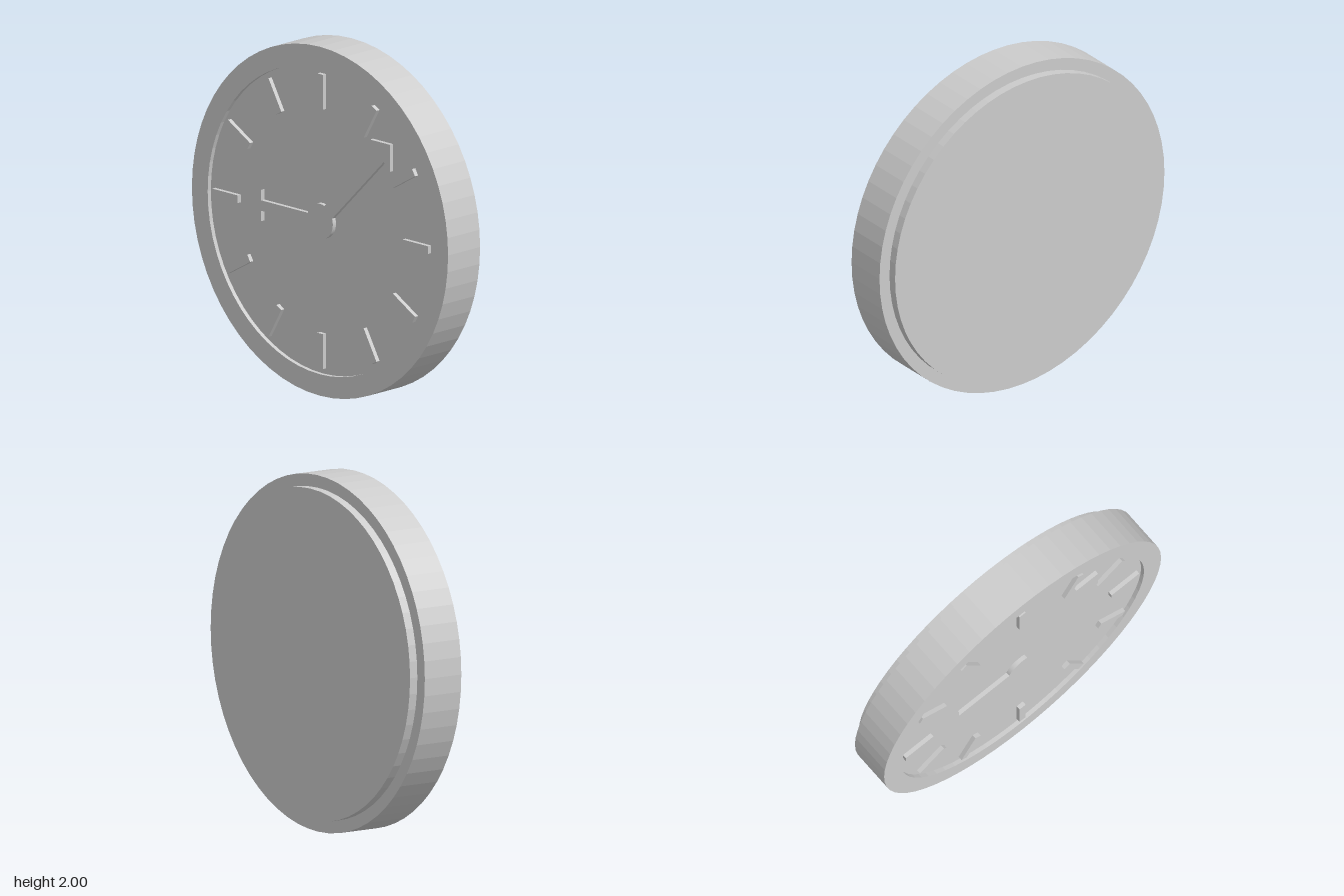
import * as THREE from 'three';

const SEGMENTS = 64;
const FACE_Z = 0.125, RIM_Z = 0.15, BODY_BACK = -0.1, BACK_Z = -0.15;
const HUB = 0.1;

export function createModel() {
  const model = new THREE.Group();
  model.name = 'wallClock';
  const material = new THREE.MeshStandardMaterial({ color: 0xcccccc, flatShading: true });

  // Everything sits on a clock group centred one radius above the base
  const clock = new THREE.Group();
  clock.name = 'clock';
  clock.position.y = 1;
  model.add(clock);

  const add = (name, geometry, parent = clock) => {
    const mesh = new THREE.Mesh(geometry, material);
    mesh.name = name;
    parent.add(mesh);
    return mesh;
  };

  // Turned parts: profile of [radius, z], from back to front
  const turned = (profile) => new THREE.LatheGeometry(
    profile.map(([r, z]) => new THREE.Vector2(r, z)), SEGMENTS).rotateX(Math.PI / 2);

  // Case with a raised rim around the recessed dial
  add('caseAndDial', turned([
    [0, BODY_BACK], [1, BODY_BACK], [1, RIM_Z],
    [0.877, RIM_Z], [0.877, FACE_Z], [0, FACE_Z],
  ]));

  // Smaller disc closing the back
  add('backPlate', turned([[0, BACK_Z], [0.93, BACK_Z], [0.93, BODY_BACK]]));

  // Twelve hour marks
  const marks = new THREE.Group();
  marks.name = 'hourMarks';
  clock.add(marks);
  const depth = RIM_Z - FACE_Z;
  const markGeometry = new THREE.BoxGeometry(0.2, 0.044, depth).translate(0.743, 0, FACE_Z + depth / 2);
  for (let i = 0; i < 12; i++) {
    add('hourMark', markGeometry, marks).rotation.z = i * Math.PI / 6;
  }

  // Hub and both arrow-headed hands as one continuous outline
  const hands = [
    { angle: Math.PI / 4, half: 0.043, neck: 0.661, wing: 0.11, tip: 0.771 },
    { angle: Math.PI, half: 0.03, neck: 0.46, wing: 0.09, tip: 0.55 },
  ];
  const shape = new THREE.Shape();
  hands.forEach((hand, i) => {
    const { angle, half, neck, wing, tip } = hand;
    const c = Math.cos(angle), s = Math.sin(angle);
    const root = Math.sqrt(HUB * HUB - half * half);
    const outline = [[root, -half], [neck, -half], [neck, -wing], [tip, 0], [neck, wing], [neck, half], [root, half]];
    outline.forEach(([u, v], j) => {
      const x = u * c - v * s, y = u * s + v * c;
      if (i === 0 && j === 0) shape.moveTo(x, y);
      else shape.lineTo(x, y);
    });
    // Hub arc running on to the next hand
    const next = hands[(i + 1) % hands.length];
    const end = next.angle + (i === hands.length - 1 ? 2 * Math.PI : 0) - Math.asin(next.half / HUB);
    shape.absarc(0, 0, HUB, angle + Math.asin(half / HUB), end, false);
  });
  add('hands', new THREE.ExtrudeGeometry(shape, { depth, bevelEnabled: false, curveSegments: 16 })
    .translate(0, 0, FACE_Z));

  return model;
}
